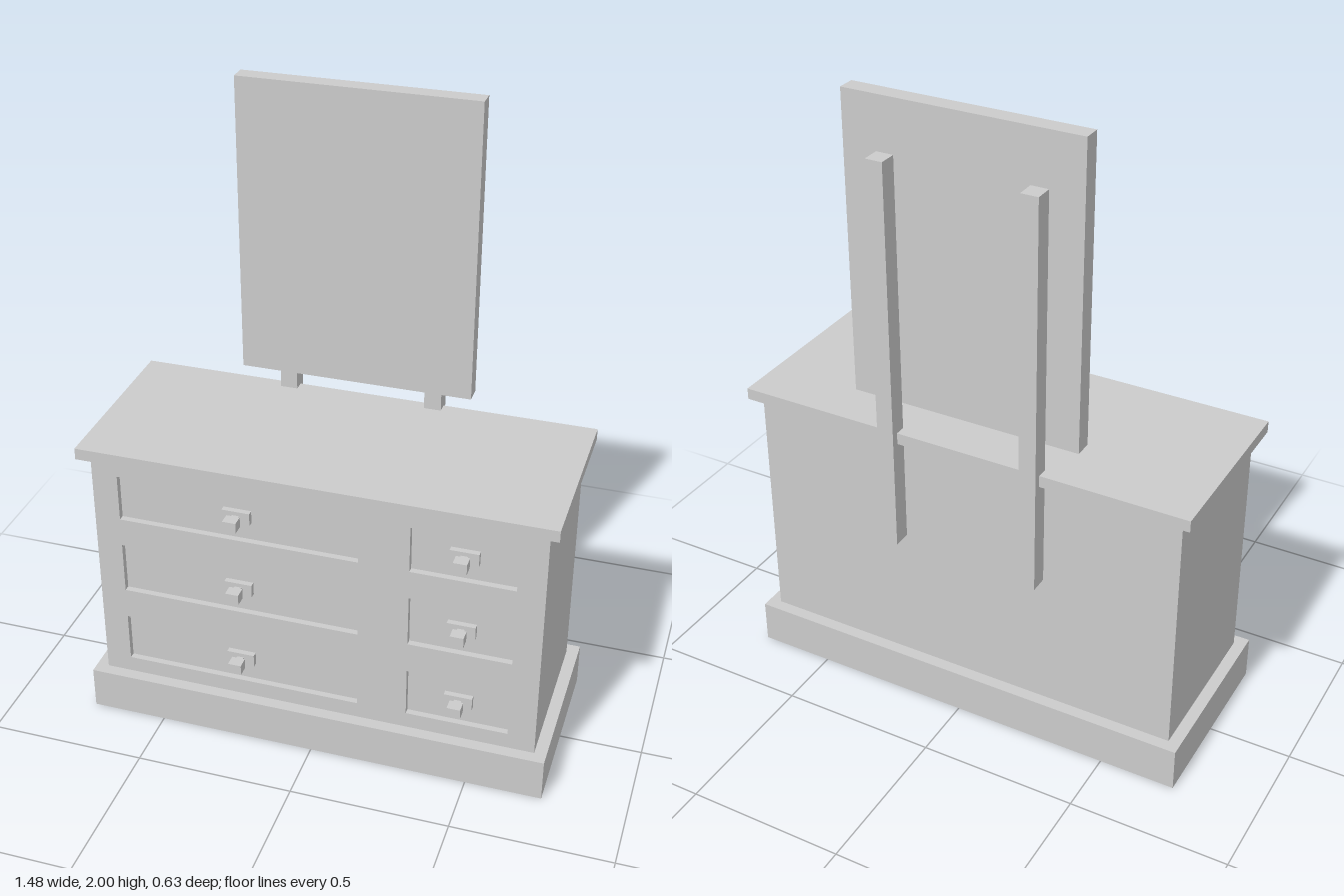
import * as THREE from 'three';

const material = new THREE.MeshStandardMaterial({ color: 0xcccccc, flatShading: true });

// Box given by its limits on each axis
function box(name, [x0, x1], [y0, y1], [z0, z1]) {
  const mesh = new THREE.Mesh(new THREE.BoxGeometry(x1 - x0, y1 - y0, z1 - z0), material);
  mesh.position.set((x0 + x1) / 2, (y0 + y1) / 2, (z0 + z1) / 2);
  mesh.name = name;
  return mesh;
}

function rectangle(target, [x0, x1], [y0, y1]) {
  target.moveTo(x0, y0);
  target.lineTo(x1, y0);
  target.lineTo(x1, y1);
  target.lineTo(x0, y1);
  target.closePath();
  return target;
}

// Back plate, stem and square knob
function createHandle(x, y) {
  const handle = new THREE.Group();
  handle.name = 'drawerHandle';
  const part = (name, w, h, z) =>
    handle.add(box(name, [x - w / 2, x + w / 2], [y - h / 2, y + h / 2], z));
  part('handlePlate', 0.088, 0.042, [0.24, 0.26]);
  part('handleStem', 0.022, 0.016, [0.255, 0.285]);
  part('handleKnob', 0.042, 0.034, [0.278, 0.315]);
  return handle;
}

export function createModel() {
  const model = new THREE.Group();
  model.name = 'dresserWithMirror';

  const bodyX = [-0.702, 0.702], bodyY = [0.14, 0.936];
  const recessZ = 0.242, frontZ = 0.262;

  // Cabinet
  model.add(
    box('plinth', [-0.74, 0.74], [0, 0.14], [-0.295, 0.3]),
    box('cabinetBody', bodyX, bodyY, [-0.257, recessZ]),
    box('cabinetTop', [-0.737, 0.733], [0.936, 0.973], [-0.292, 0.292])
  );

  // Front frame with recessed drawers, each with a handle
  const columns = [
    { x: [-0.62, 0.14], handleX: -0.242 },
    { x: [0.297, 0.617], handleX: 0.458 }
  ];
  const rows = [
    { y: [0.193, 0.357], handleY: 0.274 },
    { y: [0.459, 0.629], handleY: 0.543 },
    { y: [0.724, 0.878], handleY: 0.804 }
  ];
  const frame = rectangle(new THREE.Shape(), bodyX, bodyY);
  for (const { x, handleX } of columns) {
    for (const { y, handleY } of rows) {
      frame.holes.push(rectangle(new THREE.Path(), x, y));
      model.add(createHandle(handleX, handleY));
    }
  }
  const frontFrame = new THREE.Mesh(
    new THREE.ExtrudeGeometry(frame, { depth: frontZ - recessZ, bevelEnabled: false }),
    material
  );
  frontFrame.position.z = recessZ;
  frontFrame.name = 'frontFrame';
  model.add(frontFrame);

  // Mirror and its two rear posts
  model.add(box('mirrorPanel', [-0.38, 0.355], [1.06, 2], [-0.258, -0.203]));
  for (const x of [-0.248, 0.222]) {
    model.add(box('mirrorPost', [x - 0.027, x + 0.027], [0.586, 1.836], [-0.315, -0.258]));
  }

  return model;
}
